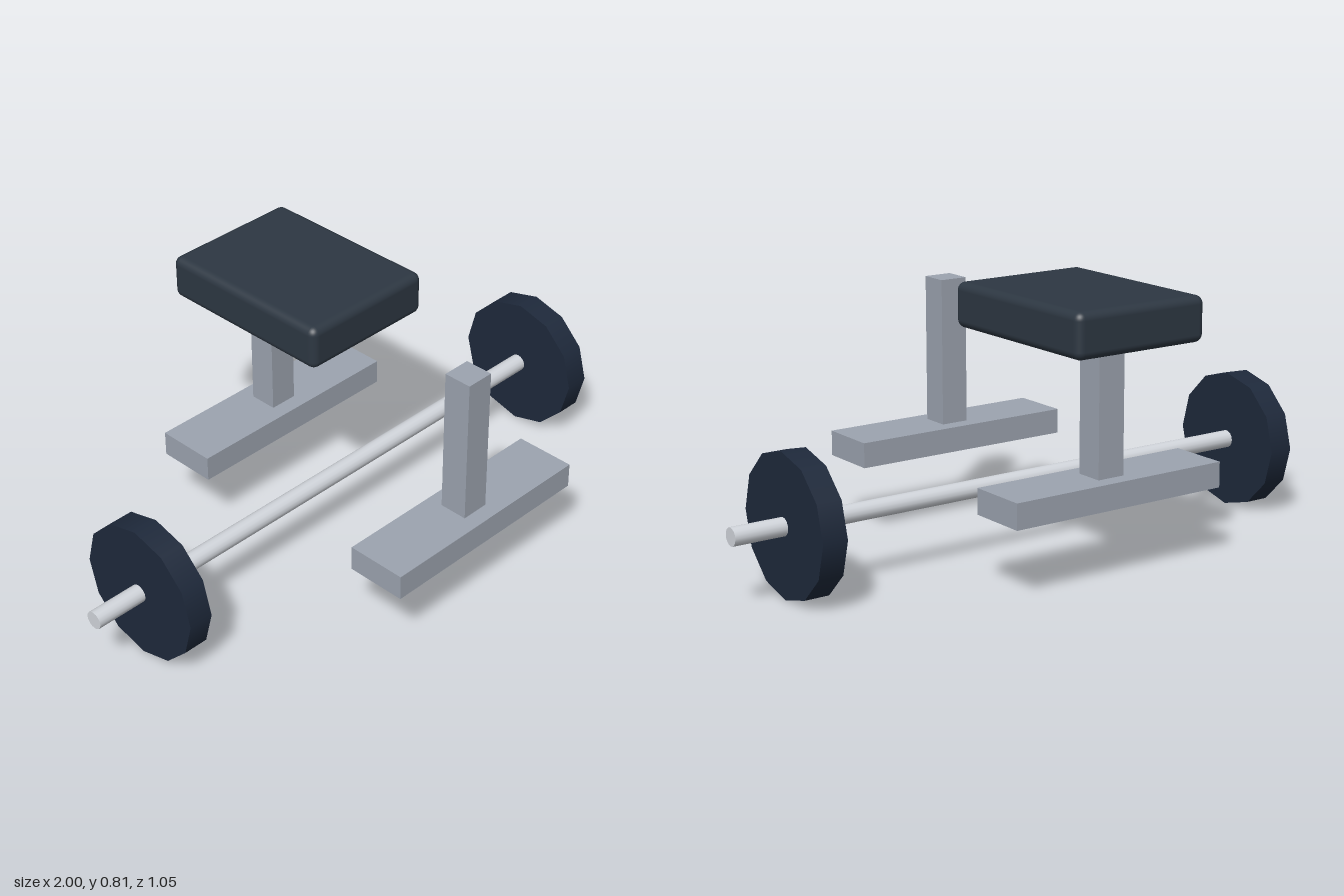
import * as THREE from 'three';
import { RoundedBoxGeometry } from 'three/addons/geometries/RoundedBoxGeometry.js';

const frameMat = new THREE.MeshStandardMaterial({ color: 0x9ca3af });
const barMat = new THREE.MeshStandardMaterial({ color: 0xd1d5db });
const plateMat = new THREE.MeshStandardMaterial({ color: 0x1e293b });
const padMat = new THREE.MeshStandardMaterial({ color: 0x2d3742 });

function add(parent, name, geometry, material, x, y, z) {
  const mesh = new THREE.Mesh(geometry, material);
  mesh.name = name;
  mesh.position.set(x, y, z);
  parent.add(mesh);
  return mesh;
}

// A cylinder lying along x
function axle(radius, length, sides) {
  return new THREE.CylinderGeometry(radius, radius, length, sides).rotateZ(Math.PI / 2);
}

// An upright post through a wide crosswise foot
function makeStand(name, z) {
  const stand = new THREE.Group();
  stand.name = name;
  stand.position.z = z;
  add(stand, 'post', new THREE.BoxGeometry(0.088, 0.534, 0.088), frameMat, 0, 0.48, 0);
  add(stand, 'foot', new THREE.BoxGeometry(0.72, 0.077, 0.187), frameMat, 0, 0.2575, 0);
  return stand;
}

export function createModel() {
  const model = new THREE.Group();
  model.name = 'benchAndBarbell';

  // Bench: two stands and a padded seat over the rear one
  model.add(makeStand('frontStand', 0.434), makeStand('rearStand', -0.345));
  add(model, 'seatPad', new RoundedBoxGeometry(0.442, 0.133, 0.582, 4, 0.024), padMat, 0, 0.7465, -0.233);

  // Barbell: a bar with one plate near each end
  const barbell = new THREE.Group();
  barbell.name = 'barbell';
  barbell.position.set(0, 0.212, -0.012);
  model.add(barbell);
  add(barbell, 'bar', axle(0.027, 2, 16), barMat, 0, 0, 0);
  for (const [name, side] of [['leftPlate', 1], ['rightPlate', -1]]) {
    add(barbell, name, axle(0.212, 0.077, 12), plateMat, side * 0.8, 0, 0);
  }
  return model;
}
